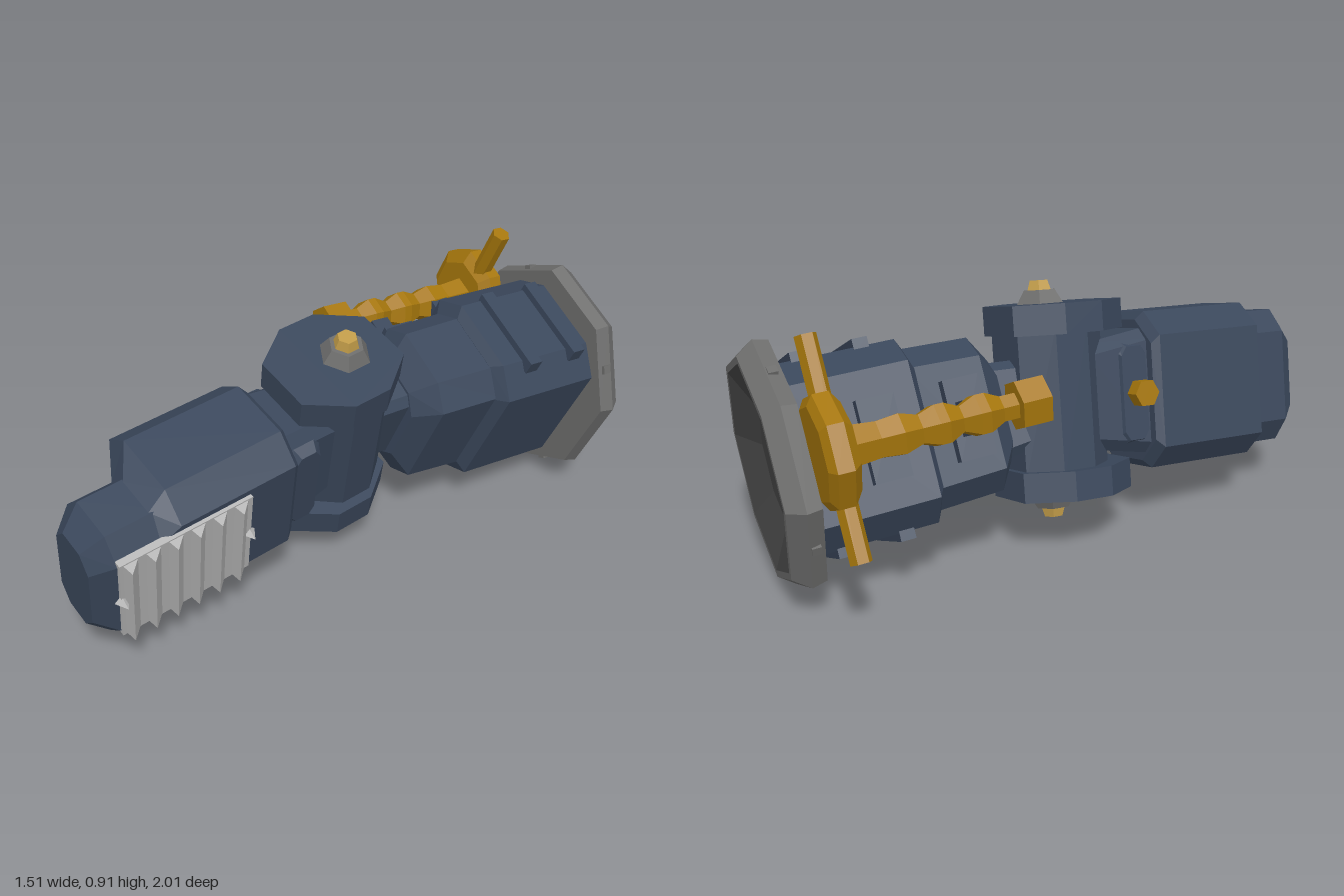
import * as THREE from 'three';

const mat = (name, color, extra = {}) => {
  const m = new THREE.MeshStandardMaterial({ color, flatShading: true, ...extra });
  m.name = name;
  return m;
};

// Loft of chamfered rectangles along +Z: [z, halfW, halfH, chamferX, chamferY, centreX, centreY]
function loft(sections) {
  const rings = sections.map(([z, w, h, a, b, cx = 0, cy = 0]) =>
    [[w, b - h], [w, h - b], [w - a, h], [a - w, h], [-w, h - b], [-w, b - h], [a - w, -h], [w - a, -h]]
      .map(([x, y]) => [x + cx, y + cy, z]));
  const pos = [];
  const tri = (...p) => p.forEach(q => pos.push(...q));
  for (let k = 0; k + 1 < rings.length; k++) {
    for (let i = 0; i < 8; i++) {
      const j = (i + 1) % 8, A = rings[k], B = rings[k + 1];
      tri(A[i], A[j], B[j]);
      tri(A[i], B[j], B[i]);
    }
  }
  const first = rings[0], last = rings[rings.length - 1];
  for (let i = 1; i < 7; i++) {
    tri(first[0], first[i + 1], first[i]);
    tri(last[0], last[i], last[i + 1]);
  }
  const g = new THREE.BufferGeometry();
  g.setAttribute('position', new THREE.Float32BufferAttribute(pos, 3));
  g.computeVertexNormals();
  return g;
}

// Lathe around Z from [radius, z] points, flats aligned with the axes when sides = 8
function latheZ(points, sides) {
  const g = new THREE.LatheGeometry(points.map(p => new THREE.Vector2(p[0], p[1])), sides, Math.PI / sides);
  return g.rotateX(Math.PI / 2);
}

// Group whose Z runs along dir and whose Y is close to up
function frame(name, dir, up) {
  const z = new THREE.Vector3(...dir).normalize();
  const x = new THREE.Vector3(...up).cross(z).normalize();
  const y = z.clone().cross(x);
  const g = new THREE.Group();
  g.name = name;
  g.quaternion.setFromRotationMatrix(new THREE.Matrix4().makeBasis(x, y, z));
  g.position.set(-0.135, 0.492, 0.01);
  return g;
}

export function createModel() {
  const navy = mat('navy paint', 0x3a475b);
  const grey = mat('grey steel', 0x6c6c6b);
  const dark = mat('dark steel', 0x434343, { side: THREE.DoubleSide });
  const brass = mat('brass', 0xa5760c);
  const pale = mat('pale brass', 0xbf9a48);
  const silver = mat('silver', 0xb6b6b6);

  const model = new THREE.Group();
  model.name = 'hingedArm';
  const add = (group, name, geo, material, x = 0, y = 0, z = 0) => {
    const m = new THREE.Mesh(geo, material);
    m.name = name;
    m.position.set(x, y, z);
    group.add(m);
    return m;
  };
  const box = (w, h, d) => new THREE.BoxGeometry(w, h, d);

  // Front arm with the hinge, Y along the hinge pin
  const front = frame('frontArm', [-0.54, -0.07, 0.84], [0.187, 0.962, 0.2]);
  model.add(front);

  // Hinge column, end plates and pin caps
  const upright = s => loft(s).rotateX(-Math.PI / 2);
  add(front, 'hingeColumn', upright([[-0.25, 0.17, 0.16, 0.08, 0.1, 0, -0.015], [0.25, 0.17, 0.16, 0.08, 0.1, 0, -0.015]]), navy);
  for (const s of [1, -1]) {
    const end = new THREE.Group();
    end.name = s > 0 ? 'topHingeCap' : 'bottomHingeCap';
    if (s < 0) end.rotation.z = Math.PI;
    front.add(end);
    add(end, 'hingePlate', upright([[0.225, 0.205, 0.21, 0.1, 0.14, 0, -0.045], [0.325, 0.205, 0.21, 0.1, 0.14, 0, -0.045]]), navy);
    add(end, 'pinWasher', new THREE.CylinderGeometry(0.06, 0.092, 0.05, 6), grey, 0, 0.345, 0);
    add(end, 'pinHead', new THREE.CylinderGeometry(0.034, 0.046, 0.035, 6), pale, 0, 0.385, 0);
  }

  // Front arm housing
  add(front, 'frontNeck', loft([[0.1, 0.13, 0.18, 0.04, 0.04], [0.35, 0.15, 0.22, 0.04, 0.04]]), navy);
  add(front, 'frontHousing', loft([
    [0.32, 0.185, 0.245, 0.09, 0.08, 0.008], [0.345, 0.204, 0.272, 0.09, 0.08, 0.008],
    [0.765, 0.204, 0.272, 0.09, 0.08, 0.008], [0.835, 0.14, 0.245, 0.07, 0.08, 0.072, -0.012]]), navy);
  add(front, 'frontNose', loft([
    [0.80, 0.142, 0.245, 0.065, 0.08, 0.07, -0.012], [0.985, 0.142, 0.245, 0.065, 0.08, 0.07, -0.012],
    [1.055, 0.092, 0.18, 0.045, 0.06, 0.072, -0.012]]), navy);
  for (const s of [1, -1]) {
    const panel = loft([[0, 0.065, 0.18, 0.025, 0.03], [0.035, 0.048, 0.16, 0.02, 0.03]]).rotateY(s * Math.PI / 2);
    add(front, 'neckPanel', panel, navy, s > 0 ? 0.145 : -0.115, 0, 0.265);
  }
  add(front, 'neckBolt', new THREE.CylinderGeometry(0.048, 0.048, 0.07, 6).rotateZ(Math.PI / 2), brass, -0.165, 0, 0.28);

  // Slatted grille on the side of the nose
  const grille = new THREE.Group();
  grille.name = 'grille';
  grille.position.set(0.207, -0.008, 0.75);
  front.add(grille);
  add(grille, 'grillePlate', box(0.025, 0.36, 0.47), silver, 0.005, 0, 0);
  const tooth = new THREE.Shape([[0, -0.028], [0.045, 0.02], [0, 0.028]].map(p => new THREE.Vector2(...p)));
  const slat = new THREE.ExtrudeGeometry(tooth, { depth: 0.35, bevelEnabled: false })
    .translate(0, 0, -0.175).rotateX(Math.PI / 2);
  for (let i = 0; i < 6; i++) add(grille, 'grilleSlat', slat, silver, 0.012, 0, -0.195 + i * 0.078);
  for (const s of [1, -1]) {
    add(grille, 'grilleStud', new THREE.ConeGeometry(0.024, 0.04, 4).rotateZ(-Math.PI / 2), silver, 0.03, 0, s * 0.23);
  }

  // Rear arm, rolled about its own length
  const rear = frame('rearArm', [0.607, -0.083, -0.79], [0.37, 0.9, 0.22]);
  model.add(rear);
  add(rear, 'rearTongue', loft([[0.1, 0.1, 0.15, 0.03, 0.03], [0.3, 0.1, 0.17, 0.03, 0.03]]), navy);
  add(rear, 'rearNeck', loft([
    [0.2, 0.13, 0.17, 0.06, 0.06], [0.265, 0.195, 0.255, 0.085, 0.07], [0.51, 0.2, 0.265, 0.085, 0.07]]), navy);
  add(rear, 'rearHousing', loft([
    [0.485, 0.2, 0.265, 0.09, 0.075], [0.51, 0.24, 0.298, 0.1, 0.08], [0.91, 0.242, 0.3, 0.1, 0.08]]), navy);
  for (const s of [1, -1]) {
    for (const z of [0.62, 0.82]) add(rear, 'housingRib', box(0.33, 0.05, 0.05), navy, -0.015, s * 0.3, z);
  }

  // Flared end ring with a hollow dish, taller than wide
  const flare = new THREE.Group();
  flare.name = 'flaredEnd';
  flare.scale.set(0.95, 1.02, 1);
  rear.add(flare);
  add(flare, 'endRing', latheZ([[0, 0.895], [0.4, 0.895], [0.412, 0.945], [0.37, 1.0], [0.347, 1.0]], 8), grey);
  add(flare, 'endDish', latheZ([[0.349, 1.0], [0.2, 0.94], [0, 0.935]], 8), dark);
  for (let i = 0; i < 4; i++) {
    const a = i * Math.PI / 2 + Math.PI / 4;
    const stud = add(flare, 'ringStud', box(0.03, 0.03, 0.03), grey, 0.37 * Math.cos(a), 0.37 * Math.sin(a), 0.925);
    stud.rotation.z = a;
  }

  // Side valve: turned rod, round plate, crossbar and brackets
  const valve = new THREE.Group();
  valve.name = 'sideRod';
  valve.position.x = 0.387;
  rear.add(valve);
  add(valve, 'rodHead', latheZ([[0, 0.165], [0.082, 0.165], [0.082, 0.26], [0, 0.26]], 6), brass);
  add(valve, 'turnedRod', latheZ([
    [0.045, 0.25], [0.045, 0.31], [0.07, 0.36], [0.07, 0.39], [0.045, 0.44], [0.07, 0.49],
    [0.07, 0.52], [0.05, 0.57], [0.07, 0.63], [0.062, 0.7], [0.075, 0.82]], 6), brass);
  add(valve, 'rodPlate', latheZ([[0, 0.79], [0.14, 0.79], [0.182, 0.82], [0.182, 0.87], [0.15, 0.89], [0, 0.89]], 8), brass);
  add(valve, 'crossbar', new THREE.CylinderGeometry(0.034, 0.034, 0.68, 6), brass, -0.01, 0.005, 0.83);
  for (const [x, z] of [[0.23, 0.36], [0.27, 0.65]]) {
    add(rear, 'rodBracketBase', box(0.08, 0.26, 0.12), navy, x - 0.03, 0, z);
    add(rear, 'rodBracket', box(0.12, 0.11, 0.07), navy, x + 0.04, 0, z);
  }
  return model;
}
